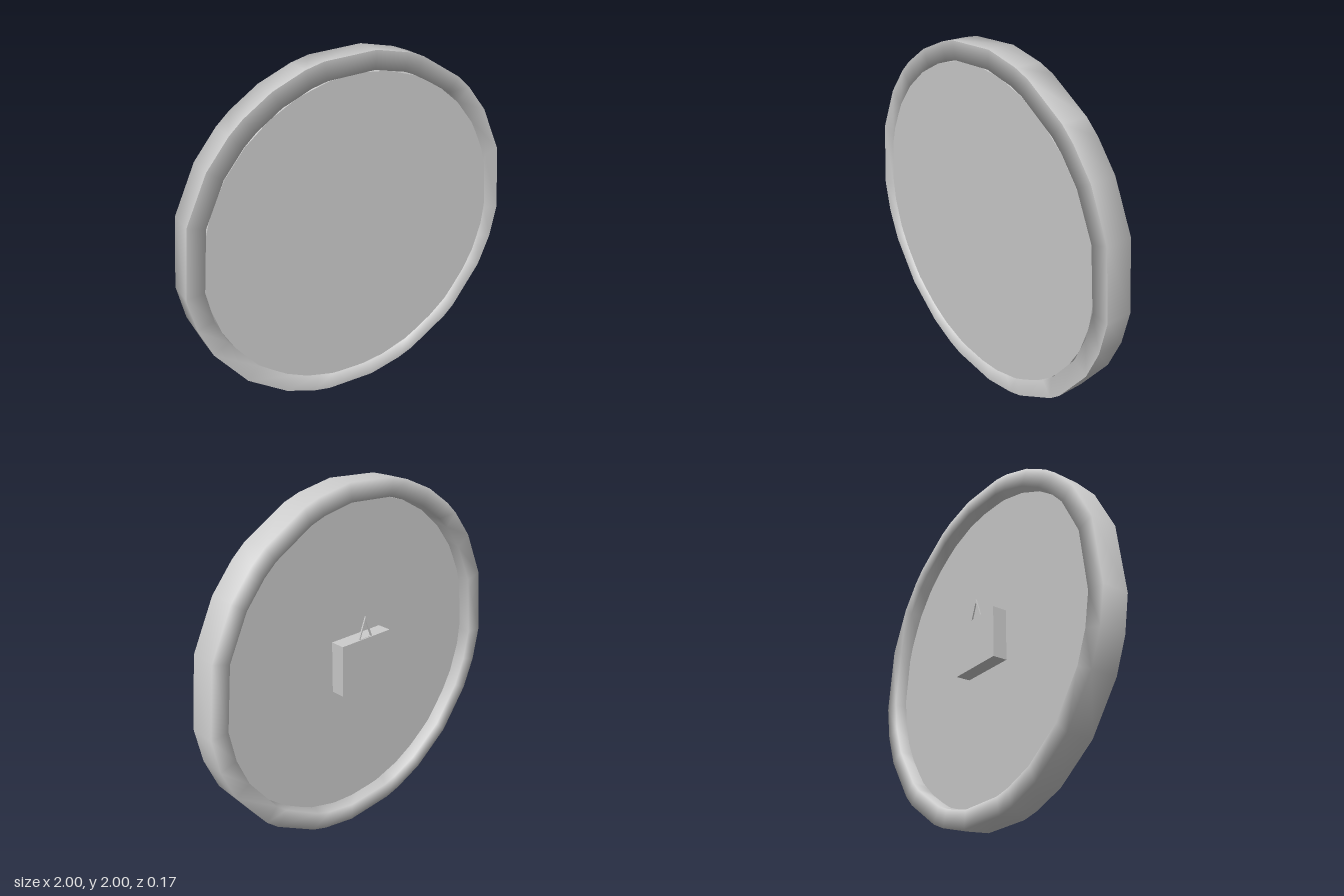
import * as THREE from 'three';

// Uneven facet angles of the rim, right half bottom to top; left half follows
const RIM_ANGLES = [
  -84.3, -72.6, -67, -50.3, -45, -27.6, -16.3, -5, 17.4, 34, 45, 51, 67, 72.6, 84.3,
  101.5, 107.4, 118.5, 129.2, 135, 146.3, 162.6, 185, 196.5, 207.6, 225, 241.5, 252.6, 258.5,
].map(THREE.MathUtils.degToRad);

// Sweeps an open [radius, z] profile around the rim facets, smooth-shaded
function sweep(profile) {
  const pos = [], index = [];
  const n = profile.length, m = RIM_ANGLES.length;
  RIM_ANGLES.forEach((a, i) => {
    for (const [r, z] of profile) pos.push(r * Math.cos(a), r * Math.sin(a), z);
    const next = (i + 1) % m;
    for (let j = 0; j < n - 1; j++) {
      const p = i * n + j, q = next * n + j;
      index.push(p, p + 1, q, p + 1, q + 1, q);
    }
  });
  const geo = new THREE.BufferGeometry();
  geo.setAttribute('position', new THREE.Float32BufferAttribute(pos, 3));
  geo.setIndex(index);
  geo.computeVertexNormals();
  return geo;
}

export function createModel() {
  const group = new THREE.Group();
  const mat = new THREE.MeshStandardMaterial({ color: 0xcccccc });
  const add = (name, geo, x, y, z) => {
    const mesh = new THREE.Mesh(geo, mat);
    mesh.name = name;
    mesh.position.set(x, y, z);
    group.add(mesh);
  };

  // Rim: square section with soft shading, creased only at the outer front edge
  const outer = 1.004, inner = 0.904, front = 0.083, back = -0.069;
  add('rim', sweep([[outer, front], [outer, back], [inner, back], [inner, front], [outer, front]]), 0, 1, 0);

  // Face panel filling the rim, almost flush with its front
  const panel = new THREE.CylinderGeometry(0.9, 0.9, 0.079, 32);
  panel.rotateX(Math.PI / 2);
  add('facePanel', panel, 0, 1, 0.0415);

  // Box on the back
  add('backBox', new THREE.BoxGeometry(0.35, 0.295, 0.085), -0.003, 1.003, -0.0405);

  // Thin triangular hanger above the box
  const tri = new THREE.Shape([[-0.05, 0], [0.05, 0], [0, 0.13]].map(([x, y]) => new THREE.Vector2(x, y)));
  tri.holes.push(new THREE.Path([[-0.039, 0.007], [0, 0.109], [0.039, 0.007]].map(([x, y]) => new THREE.Vector2(x, y))));
  add('hanger', new THREE.ExtrudeGeometry(tri, { depth: 0.008, bevelEnabled: false }), 0, 1.145, -0.077);

  return group;
}
